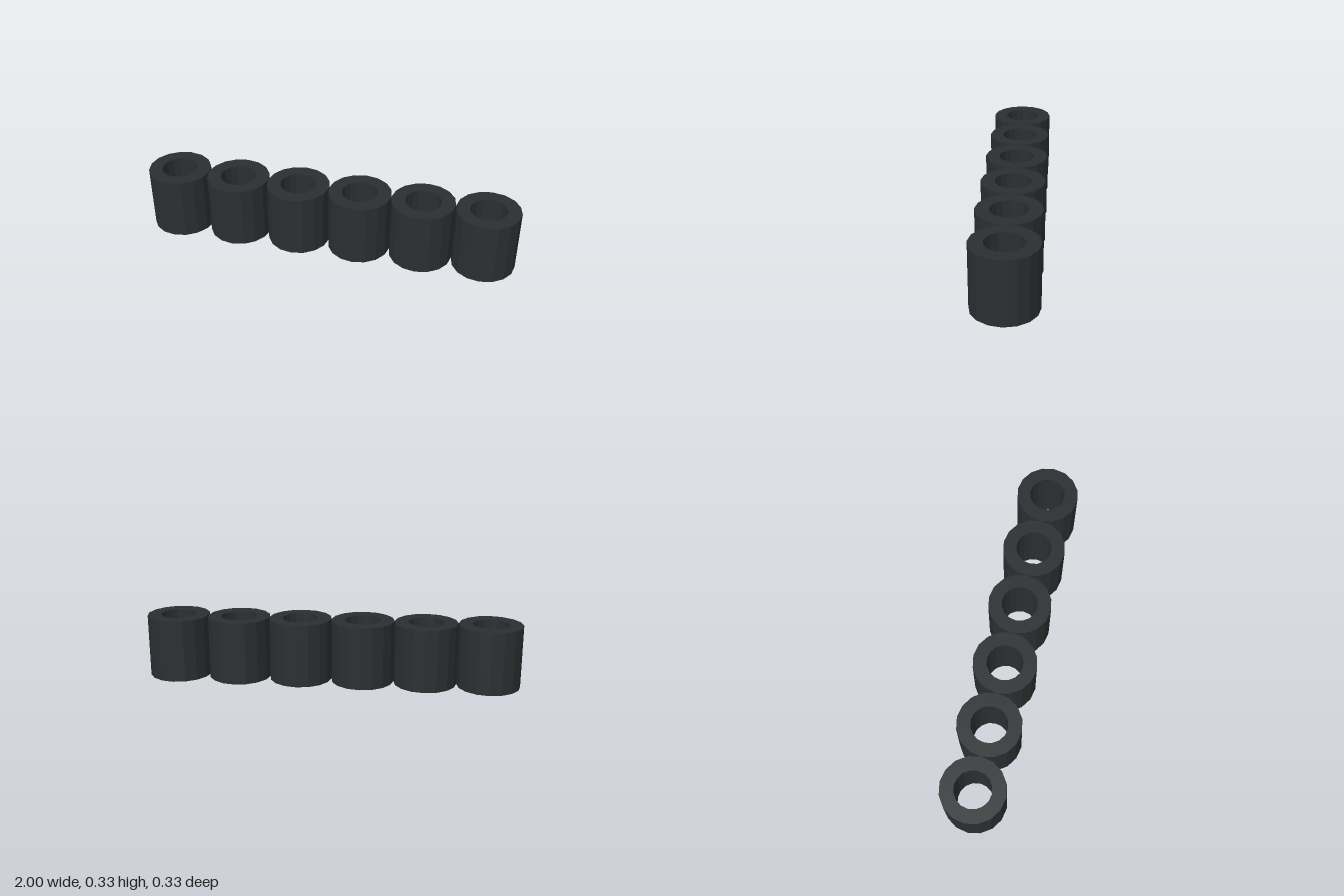
import * as THREE from 'three';

const COUNT = 6;
const OUTER = 1 / COUNT;
const INNER = 0.095;
const HEIGHT = 2 / COUNT;
const SIDES = 16;

export function createModel() {
  const model = new THREE.Group();
  model.name = 'tubeRow';
  const material = new THREE.MeshStandardMaterial({ color: 0x2b2f31, flatShading: true });

  // Hollow tube: outer wall, top rim, bore, bottom rim
  const profile = [
    [OUTER, 0], [OUTER, HEIGHT], [INNER, HEIGHT], [INNER, 0], [OUTER, 0],
  ].map(([r, y]) => new THREE.Vector2(r, y));
  const geometry = new THREE.LatheGeometry(profile, SIDES);

  // Touching tubes side by side along x
  for (let i = 0; i < COUNT; i++) {
    const tube = new THREE.Mesh(geometry, material);
    tube.name = `tube${i + 1}`;
    tube.position.x = (i - (COUNT - 1) / 2) * 2 * OUTER;
    model.add(tube);
  }
  return model;
}
